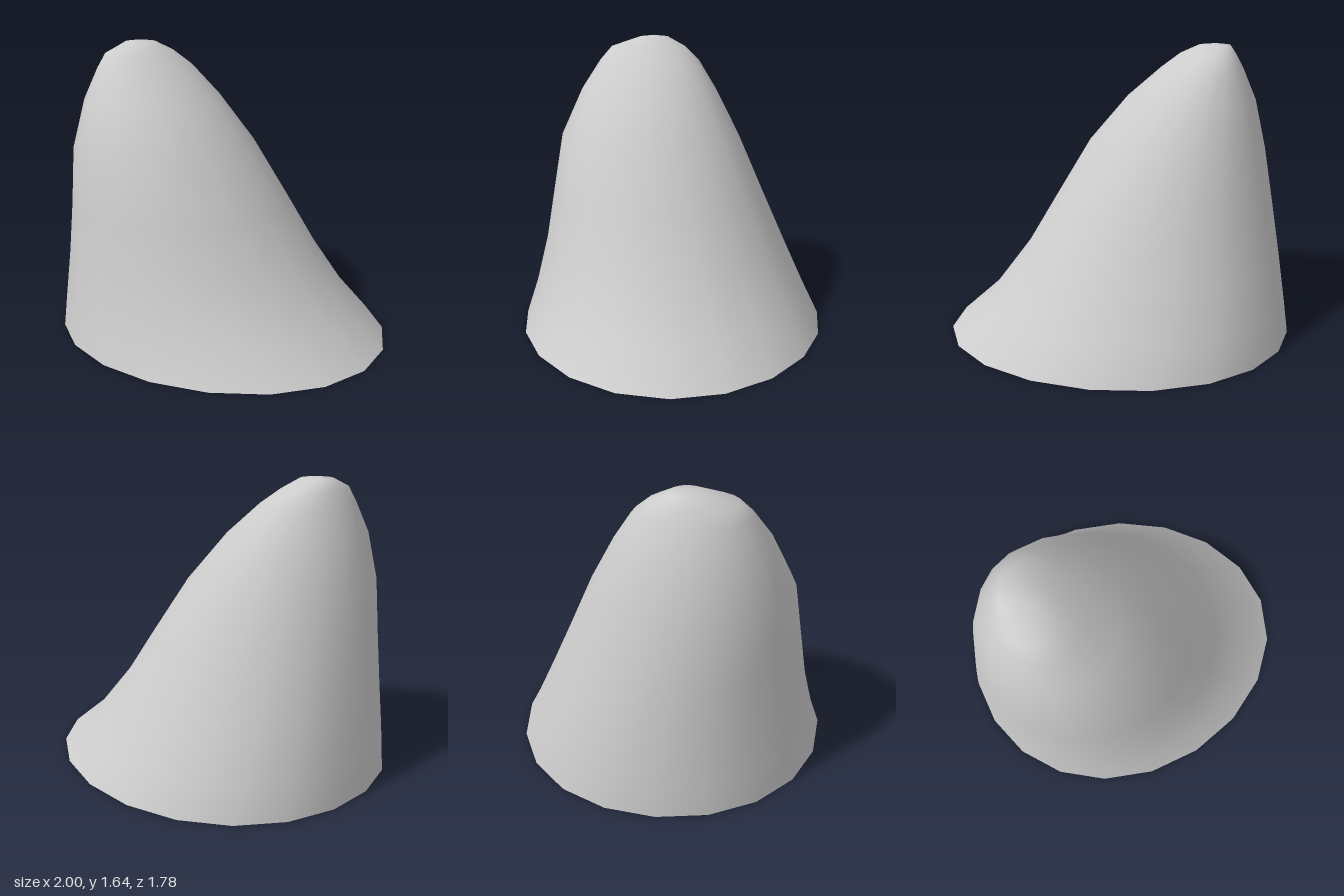
import * as THREE from 'three';

const SIDES = 20;

// Cross-sections from the ground up: [height, left x, right x, back z, front z]
const SECTIONS = [
  [0, -1, 1, -0.89, 0.89],
  [0.18, -0.98, 0.78, -0.8, 0.835],
  [0.44, -0.95, 0.57, -0.68, 0.775],
  [0.73, -0.915, 0.385, -0.55, 0.73],
  [1.06, -0.87, 0.175, -0.405, 0.68],
  [1.33, -0.81, -0.06, -0.265, 0.56],
  [1.5, -0.735, -0.26, -0.16, 0.45],
  [1.58, -0.695, -0.37, -0.075, 0.38],
  [1.635, -0.655, -0.47, 0.03, 0.21],
];
const APEX = [-0.57, 1.645, 0.12];

// One oval ring; the widest point is shifted a little to the left near the ground
function ring([y, left, right, back, front]) {
  const skew = 0.075 * Math.max(0, 1 - y / 0.8);
  const points = [];
  for (let j = 0; j < SIDES; j++) {
    const t = (j / SIDES) * Math.PI * 2;
    const c = Math.cos(t), s = Math.sin(t);
    points.push(
      (left + right) / 2 + ((right - left) / 2) * c - skew * s * s,
      y,
      (back + front) / 2 + ((front - back) / 2) * s
    );
  }
  return points;
}

function makeMesh(name, positions, index, material) {
  const geometry = new THREE.BufferGeometry();
  geometry.setAttribute('position', new THREE.Float32BufferAttribute(positions, 3));
  geometry.setIndex(index);
  geometry.computeVertexNormals();
  const mesh = new THREE.Mesh(geometry, material);
  mesh.name = name;
  return mesh;
}

export function createModel() {
  const group = new THREE.Group();
  group.name = 'leaningMound';
  const material = new THREE.MeshStandardMaterial({ color: 0xcccccc });

  // Smooth leaning body, closed by a fan at the peak
  const positions = [...SECTIONS.flatMap(ring), ...APEX];
  const apex = SECTIONS.length * SIDES;
  const index = [];
  for (let i = 0; i < SECTIONS.length; i++) {
    for (let j = 0; j < SIDES; j++) {
      const a = i * SIDES + j;
      const b = i * SIDES + ((j + 1) % SIDES);
      if (i === SECTIONS.length - 1) index.push(a, apex, b);
      else index.push(a, a + SIDES, b, b, a + SIDES, b + SIDES);
    }
  }
  group.add(makeMesh('body', positions, index, material));

  // Flat underside, kept separate for a sharp bottom edge
  const baseIndex = [];
  for (let j = 0; j < SIDES; j++) baseIndex.push(SIDES, j, (j + 1) % SIDES);
  group.add(makeMesh('underside', [...ring(SECTIONS[0]), 0, 0, 0], baseIndex, material));

  return group;
}
